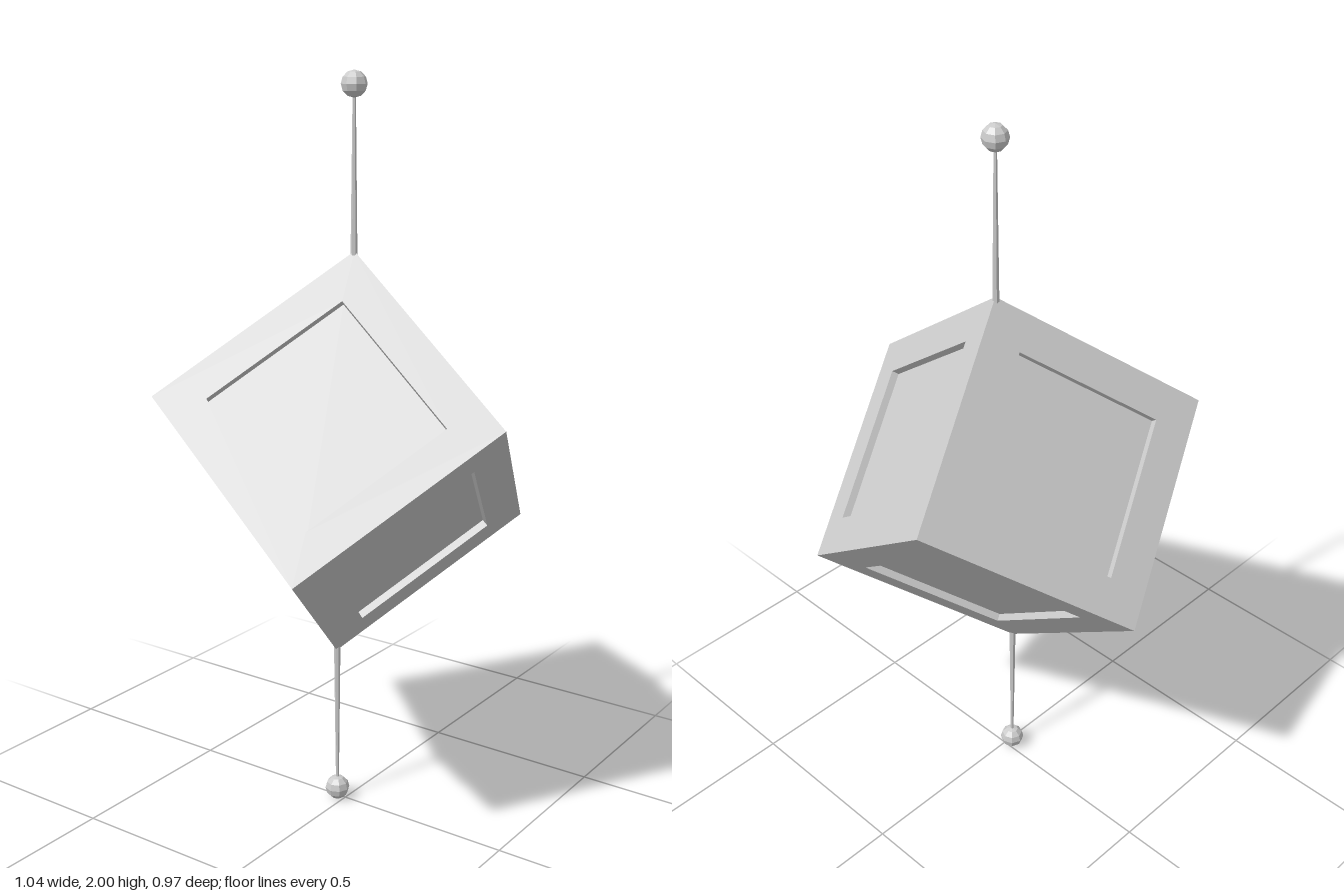
import * as THREE from 'three';

const EDGE = 0.636;                      // cube edge length
const DEPTH = 0.02;                      // depth of the sunken panels
const PANEL = [0.70, 0.68, 0.665];       // panel size along each cube axis, as a share of the edge
const BALL_R = 0.034;

const material = new THREE.MeshStandardMaterial({ color: 0xcccccc, flatShading: true });

function addMesh(parent, name, geometry) {
  const mesh = new THREE.Mesh(geometry, material);
  mesh.name = name;
  parent.add(mesh);
  return mesh;
}

// One cube face: square rings from the outer edge to the panel rim, down its walls and across its floor
function faceGeometry(axis, sign) {
  let u = (axis + 1) % 3, v = (axis + 2) % 3;
  if (sign < 0) [u, v] = [v, u];
  const h = EDGE / 2;
  const rings = [
    [h, h, h],
    [h * PANEL[u], h * PANEL[v], h],
    [h * PANEL[u], h * PANEL[v], h - DEPTH],
    [0, 0, h - DEPTH],
  ];
  const corners = [[-1, -1], [1, -1], [1, 1], [-1, 1]];
  const positions = [], index = [];
  for (const [ru, rv, out] of rings) {
    for (const [cu, cv] of corners) {
      const p = [0, 0, 0];
      p[u] = cu * ru;
      p[v] = cv * rv;
      p[axis] = sign * out;
      positions.push(...p);
    }
  }
  for (let r = 0; r < rings.length - 1; r++) {
    for (let k = 0; k < 4; k++) {
      const a = r * 4 + k, b = r * 4 + (k + 1) % 4;
      index.push(a, b, a + 4);
      if (r < rings.length - 2) index.push(b, b + 4, a + 4);
    }
  }
  const indexed = new THREE.BufferGeometry();
  indexed.setAttribute('position', new THREE.Float32BufferAttribute(positions, 3));
  indexed.setIndex(index);
  const geometry = indexed.toNonIndexed();
  geometry.computeVertexNormals();
  return geometry;
}

export function createModel() {
  const model = new THREE.Group();
  model.name = 'hangingCube';

  // Cube balanced on one corner
  const cube = new THREE.Group();
  cube.name = 'cube';
  for (let axis = 0; axis < 3; axis++) {
    for (const sign of [1, -1]) addMesh(cube, 'panelledFace', faceGeometry(axis, sign));
  }
  const x = new THREE.Vector3(-0.503, 0.385, -0.081).normalize();
  const y = new THREE.Vector3(0.210, 0.374, 0.476);
  y.addScaledVector(x, -x.dot(y)).normalize();
  const z = new THREE.Vector3().crossVectors(x, y);
  cube.quaternion.setFromRotationMatrix(new THREE.Matrix4().makeBasis(x, y, z));
  cube.position.y = 1;
  model.add(cube);

  // Tapered rod and ball above the top corner and below the bottom one
  const start = 0.535, end = 1 - BALL_R;
  for (const sign of [1, -1]) {
    const pole = new THREE.Group();
    pole.name = sign > 0 ? 'topPole' : 'bottomPole';
    const rod = addMesh(pole, 'rod', new THREE.CylinderGeometry(0.004, 0.009, end - start, 6));
    rod.position.y = (start + end) / 2;
    const ball = addMesh(pole, 'ball', new THREE.SphereGeometry(BALL_R, 8, 6));
    ball.position.y = end;
    if (sign < 0) pole.rotation.x = Math.PI;
    pole.position.set(sign * 0.018, 1, sign * -0.013);
    model.add(pole);
  }
  return model;
}
